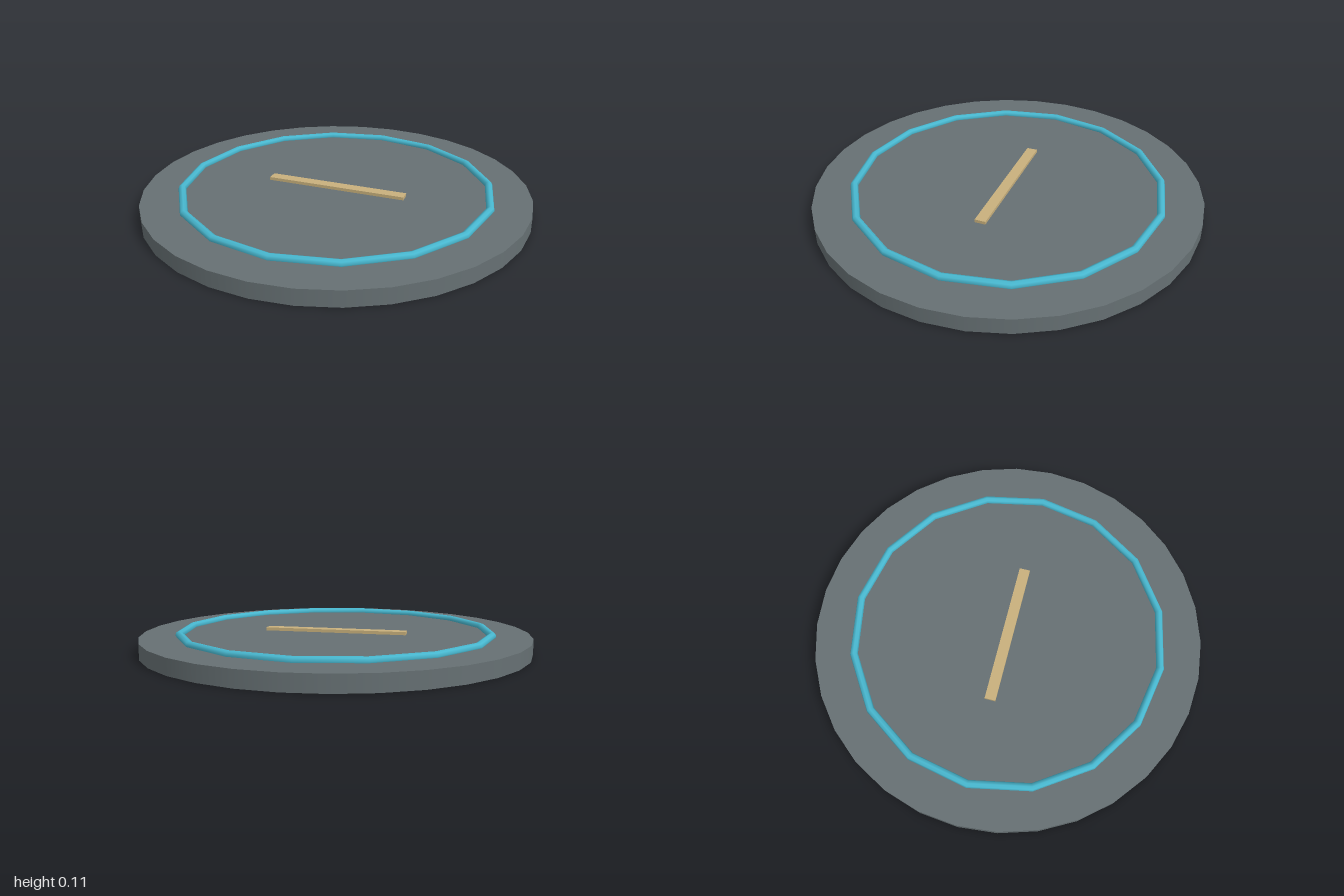
import * as THREE from 'three';

export function createModel() {
  const model = new THREE.Group();

  const addPart = (name, geometry, color, y) => {
    const mesh = new THREE.Mesh(geometry, new THREE.MeshStandardMaterial({ color }));
    mesh.name = name;
    mesh.position.y = y;
    model.add(mesh);
  };

  // Round base plate
  addPart('baseDisc', new THREE.CylinderGeometry(1, 1, 0.08, 32), 0x667073, 0.04);

  // Sixteen-sided ring half sunk into the plate
  const ring = new THREE.TorusGeometry(0.8, 0.02, 8, 16).rotateX(-Math.PI / 2);
  addPart('inlaidRing', ring, 0x48b8d0, 0.086);

  // Thin marker bar across the middle
  addPart('centreBar', new THREE.BoxGeometry(0.74, 0.02, 0.056), 0xc8b07c, 0.086);

  return model;
}
